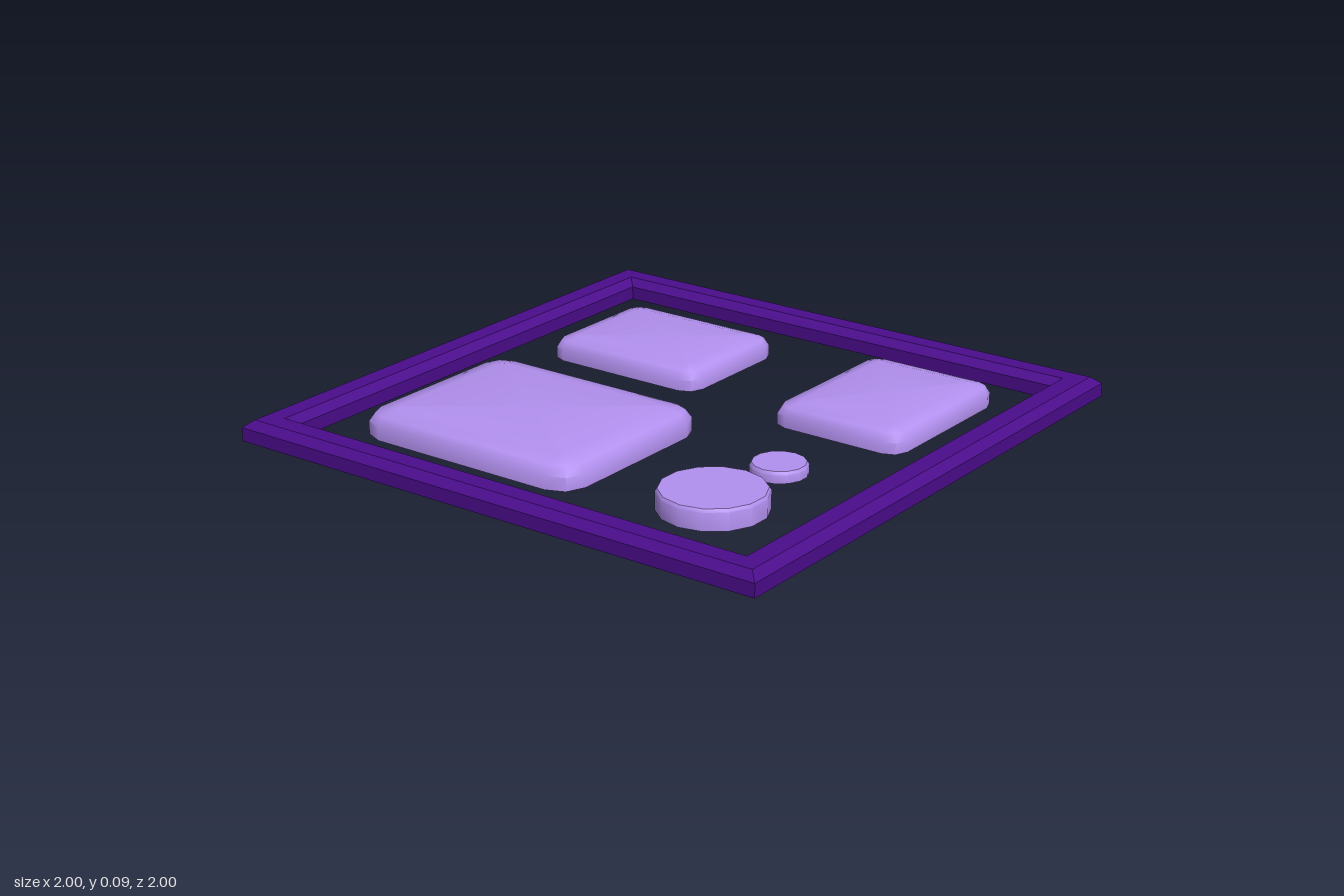
import * as THREE from 'three';
import { toCreasedNormals } from 'three/addons/utils/BufferGeometryUtils.js';

const padMaterial = new THREE.MeshStandardMaterial({ color: 0xb391f0, side: THREE.DoubleSide });
const frameMaterial = new THREE.MeshStandardMaterial({ color: 0x4b0c8c, side: THREE.DoubleSide, flatShading: true });

// Outline of a rounded rectangle with one middle point per corner
function roundedOutline(w, d, r) {
  const points = [];
  const signs = [[1, 1], [-1, 1], [-1, -1], [1, -1]];
  signs.forEach(([sx, sz], corner) => {
    for (let k = 0; k < 3; k++) {
      const a = (corner + k / 2) * Math.PI / 2;
      points.push([sx * (w / 2 - r) + r * Math.cos(a), sz * (d / 2 - r) + r * Math.sin(a)]);
    }
  });
  return points;
}

// Shell, open below, lofted through [inset, y] steps and closed by a flat top
function padGeometry(w, d, radius, profile) {
  const positions = [], index = [];
  const n = 12;
  for (const [inset, y] of profile) {
    const ring = roundedOutline(w - 2 * inset, d - 2 * inset, Math.max(radius - inset, 0.015));
    for (const [x, z] of ring) positions.push(x, y, z);
  }
  for (let j = 0; j < profile.length - 1; j++) {
    for (let i = 0; i < n; i++) {
      const a = j * n + i, b = j * n + (i + 1) % n;
      index.push(a, a + n, b, b, a + n, b + n);
    }
  }
  const last = (profile.length - 1) * n, centre = last + n;
  positions.push(0, profile[profile.length - 1][1], 0);
  for (let i = 0; i < n; i++) index.push(centre, last + (i + 1) % n, last + i);

  const geometry = new THREE.BufferGeometry();
  geometry.setAttribute('position', new THREE.Float32BufferAttribute(positions, 3));
  geometry.setIndex(index);
  return toCreasedNormals(geometry, 0.9);
}

// Button, open below, with a slightly rounded rim
function buttonGeometry(r, y0, y1) {
  const profile = [[r, y0], [r, y1 - 0.01], [r - 0.007, y1], [0, y1]].map(([x, y]) => new THREE.Vector2(x, y));
  const geometry = new THREE.LatheGeometry(profile, 14);
  geometry.rotateY(Math.PI / 2);
  return toCreasedNormals(geometry, 0.6);
}

export function createModel() {
  const group = new THREE.Group();
  const add = (name, geometry, material, x = 0, z = 0) => {
    const mesh = new THREE.Mesh(geometry, material);
    mesh.name = name;
    mesh.position.set(x, 0, z);
    group.add(mesh);
  };

  // Square frame: bevelled channel swept around four sides
  const section = [[1, 0.006], [1, 0.052], [0.97, 0.076], [0.904, 0.076], [0.873, 0.052], [0.873, 0.006]]
    .map(([x, y]) => new THREE.Vector2(x * Math.SQRT2, y));
  const frame = new THREE.LatheGeometry(section, 4);
  frame.rotateY(Math.PI / 4);
  add('frame', frame, frameMaterial);

  // Three cushioned pads
  const largeProfile = [[0, 0], [0, 0.045], [0.022, 0.075], [0.09, 0.09]];
  const smallProfile = [[0, 0.004], [0, 0.042], [0.018, 0.07], [0.065, 0.081]];
  add('largePad', padGeometry(0.7, 0.866, 0.09, largeProfile), padMaterial, -0.378, -0.322);
  add('backPad', padGeometry(0.49, 0.612, 0.06, smallProfile), padMaterial, 0.447, -0.412);
  add('frontPad', padGeometry(0.612, 0.49, 0.06, smallProfile), padMaterial, 0.436, 0.505);

  // Two round buttons
  add('largeButton', buttonGeometry(0.176, 0, 0.07), padMaterial, -0.54, 0.522);
  add('smallButton', buttonGeometry(0.094, 0.004, 0.042), padMaterial, -0.192, 0.522);

  return group;
}
